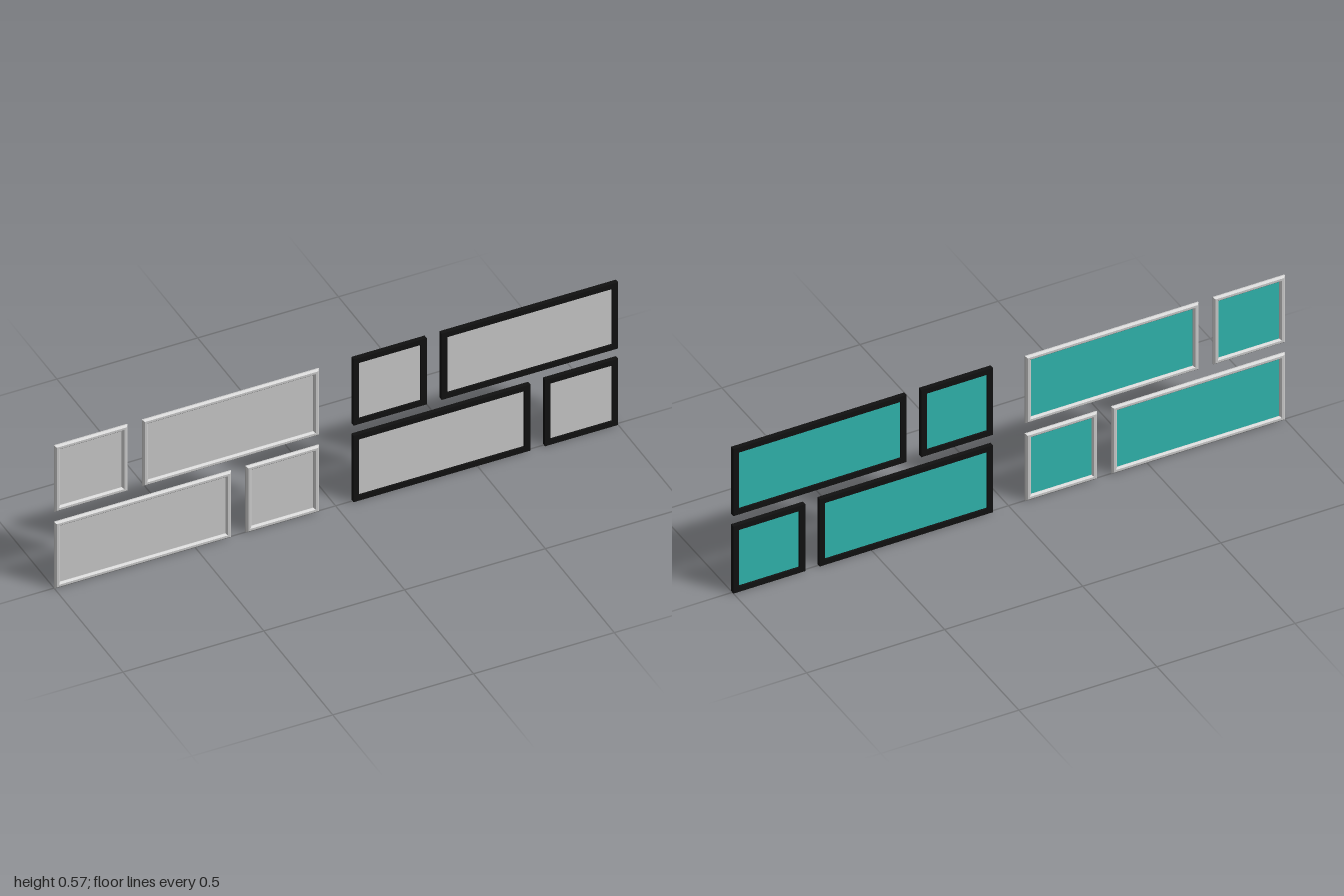
import * as THREE from 'three';

const DEPTH = 0.016;
const grey = new THREE.MeshStandardMaterial({ color: 0xcccccc, flatShading: true });
const black = new THREE.MeshStandardMaterial({ color: 0x111111, flatShading: true });
const teal = new THREE.MeshStandardMaterial({ color: 0x30b8b0 });

function rectangle(target, w, h) {
  target.moveTo(-w / 2, -h / 2);
  target.lineTo(w / 2, -h / 2);
  target.lineTo(w / 2, h / 2);
  target.lineTo(-w / 2, h / 2);
  target.closePath();
  return target;
}

// Rectangular ring, optionally chamfered on every long edge
function frameGeometry(w, h, border, bevel) {
  const shape = rectangle(new THREE.Shape(), w - 2 * bevel, h - 2 * bevel);
  const inset = 2 * (border - bevel);
  shape.holes.push(rectangle(new THREE.Path(), w - inset, h - inset));
  const depth = DEPTH - 2 * bevel;
  const geometry = new THREE.ExtrudeGeometry(shape, {
    depth, bevelEnabled: bevel > 0, bevelSize: bevel, bevelThickness: bevel, bevelSegments: 1,
  });
  return geometry.translate(0, 0, -depth / 2);
}

function makeWindow(name, [x0, x1, y0, y1], material, border, bevel) {
  const w = x1 - x0, h = y1 - y0;
  const unit = new THREE.Group();
  unit.name = name;
  unit.position.set((x0 + x1) / 2, (y0 + y1) / 2, 0);

  const frame = new THREE.Mesh(frameGeometry(w, h, border, bevel), material);
  frame.name = 'frame';

  // Thin pane: grey front face, teal back face
  const paneGeometry = new THREE.PlaneGeometry(w - 1.5 * border, h - 1.5 * border);
  const front = new THREE.Mesh(paneGeometry, grey);
  front.name = 'paneFront';
  front.position.z = 0.0005;
  const back = new THREE.Mesh(paneGeometry, teal);
  back.name = 'paneBack';
  back.position.z = -0.0005;
  back.rotation.y = Math.PI;

  unit.add(frame, front, back);
  return unit;
}

export function createModel() {
  const model = new THREE.Group();
  model.name = 'windowSet';

  // x range and y range of the four windows in one set
  const layout = {
    UpperSmall: [-1, -0.74, 0.304, 0.567],
    UpperWide: [-0.687, -0.06, 0.304, 0.567],
    LowerWide: [-1, -0.372, 0, 0.263],
    LowerSmall: [-0.32, -0.06, 0, 0.263],
  };

  for (const [part, [x0, x1, y0, y1]] of Object.entries(layout)) {
    // Chamfered grey frames on the right, plain black frames on the left
    model.add(makeWindow('grey' + part, [x0, x1, y0, y1], grey, 0.02, 0.006));
    const shift = 1.06;
    model.add(makeWindow('black' + part, [x0 + shift, x1 + shift, y0, y1], black, 0.02, 0));
  }
  return model;
}
